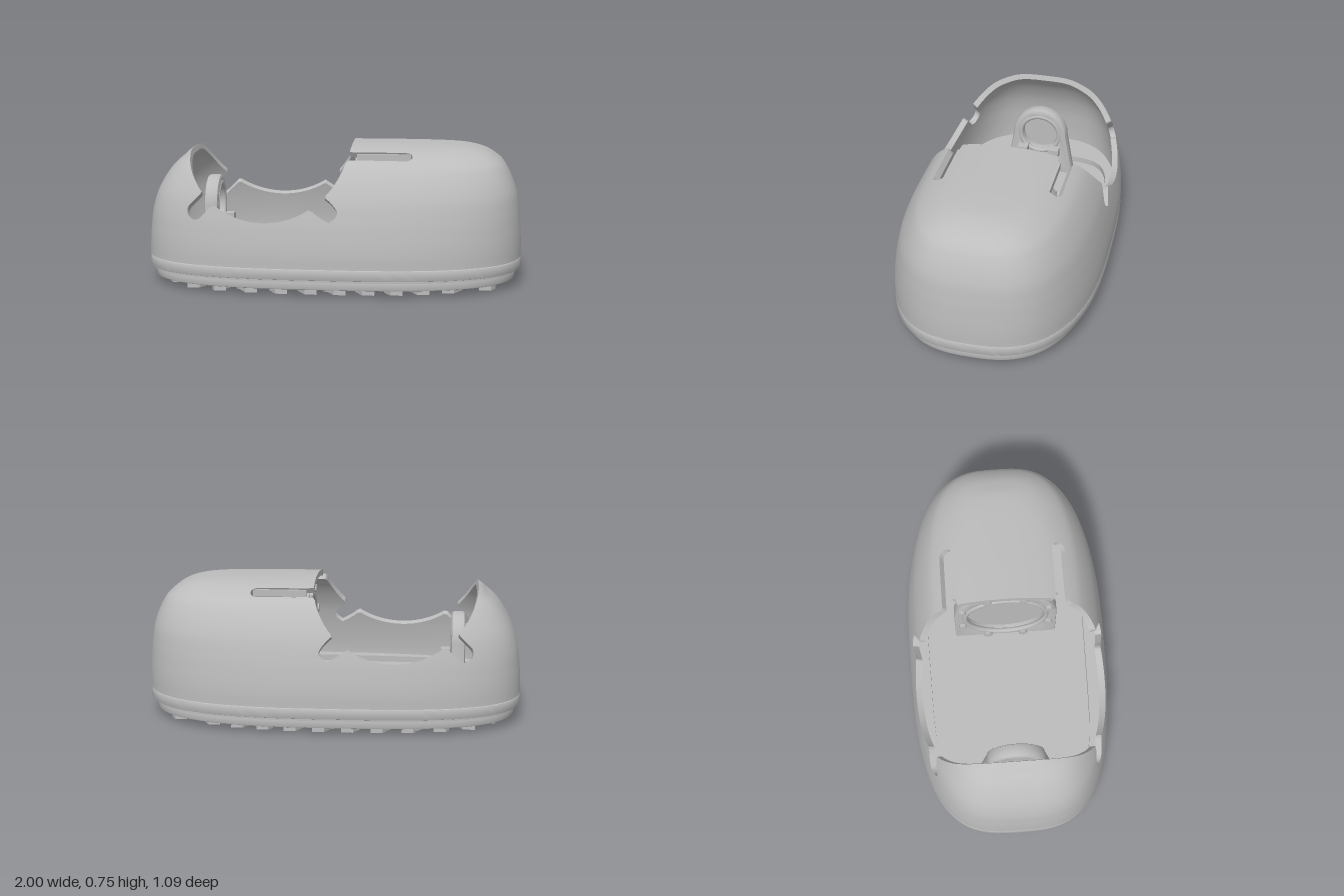
import * as THREE from 'three';
import { mergeVertices, toCreasedNormals } from 'three/addons/utils/BufferGeometryUtils.js';

const grey = new THREE.MeshStandardMaterial({ color: 0xbcbcbc });
grey.name = 'plain grey';

function add(parent, name, geometry) {
  const mesh = new THREE.Mesh(geometry, grey);
  mesh.name = name;
  parent.add(mesh);
  return mesh;
}

// Rounded plan outline: a superellipse, wider towards +x and boxier towards -x
const POWER = 2.7;
function planPoint(angle, sx, sz, power = POWER) {
  const c = Math.cos(angle), s = Math.sin(angle);
  const p = c < 0 ? power + 0.4 : power;
  const x = Math.sign(c) * Math.abs(c) ** (2 / p);
  const z = Math.sign(s) * Math.abs(s) ** (2 / p);
  return [x * sx, z * sz * (1 + 0.035 * x)];
}
function planPoints(sx, sz, power = POWER, n = 120) {
  return Array.from({ length: n }, (_, i) =>
    new THREE.Vector2(...planPoint((i / n) * Math.PI * 2, sx, sz, power)));
}
const halfWidth = (x, sx, sz) => sz * (1 - Math.min(1, Math.abs(x / sx)) ** POWER) ** (1 / POWER);

// Horizontal slab from y0 to y1 made from a plan shape (shape y becomes -z)
function slab(shape, y0, y1, bevel = 0) {
  const g = new THREE.ExtrudeGeometry(shape, {
    depth: y1 - y0 - 2 * bevel, bevelEnabled: bevel > 0, bevelThickness: bevel,
    bevelSize: bevel, bevelOffset: -bevel, bevelSegments: 2,
  });
  g.rotateX(-Math.PI / 2);
  g.translate(0, y0 + bevel, 0);
  return toCreasedNormals(g, 0.5);
}

// Signed distance to the openings: negative where the shell is cut away
function capsule(px, py, ax, ay, bx, by, r) {
  const dx = bx - ax, dy = by - ay;
  const t = THREE.MathUtils.clamp(((px - ax) * dx + (py - ay) * dy) / (dx * dx + dy * dy), 0, 1);
  return Math.hypot(px - ax - t * dx, py - ay - t * dy) - r;
}
function opening([x, y, z]) {
  const saddle = Math.hypot(x + 0.338, y - 0.822) - 0.442;
  const notchA = capsule(x, y, -0.695, 0.425, -0.59, 0.53, 0.043);
  const notchB = capsule(x, y, 0.005, 0.43, -0.1, 0.535, 0.043);
  const slot = y > 0.55 ? capsule(x, Math.abs(z), 0, 0.3, 0.383, 0.3, 0.036) : 1;
  return Math.min(saddle, notchA, notchB, slot);
}

// Domed shell of constant grid, clipped by the openings and given a rim
function buildShell(parent) {
  // height, reach to +x, reach to -x, half width
  const profile = [
    [0.15, 1, 1, 0.543], [0.22, 1, 0.998, 0.541], [0.3, 0.996, 0.992, 0.531],
    [0.4, 0.987, 0.978, 0.511], [0.5, 0.97, 0.945, 0.48], [0.6, 0.93, 0.885, 0.425],
    [0.665, 0.88, 0.82, 0.363], [0.718, 0.78, 0.735, 0.255], [0.74, 0.6, 0.5, 0.125],
    [0.746, 0, 0, 0],
  ];
  const curve = (k) => new THREE.CatmullRomCurve3(
    profile.map((p) => new THREE.Vector3(p[k], p[0], p[3])), false, 'catmullrom');
  const right = curve(1), left = curve(2);
  const NU = 260, NV = 81;
  const grid = [];
  for (let j = 0; j <= NV; j++) {
    const t = j / NV;
    const a = right.getPoint(t), b = left.getPoint(t);
    for (let i = 0; i < NU; i++) {
      const angle = (i / NU) * Math.PI * 2;
      // sections grow boxier towards the top
      const [x, z] = planPoint(angle, Math.cos(angle) > 0 ? a.x : b.x, a.z, POWER + 1.3 * t * t);
      const o = [x, a.y, z];
      // the wall is thinned along x only near the two ends
      const n = [x * (1 - 0.035 * x ** 4), a.y - 0.05 * (a.y - 0.15), z * 0.935];
      grid.push({ o, n, f: opening(o) });
    }
  }
  const mix = (p, q, t) => p.map((v, k) => v + (q[k] - v) * t);
  const outer = [], inner = [], rim = [];
  function clip(tri) {
    const poly = [];
    tri.forEach((p, k) => {
      const q = tri[(k + 1) % 3];
      if (p.f >= 0) poly.push(p);
      if ((p.f >= 0) !== (q.f >= 0)) {
        const t = p.f / (p.f - q.f);
        poly.push({ o: mix(p.o, q.o, t), n: mix(p.n, q.n, t), cut: true });
      }
    });
    for (let k = 1; k + 1 < poly.length; k++) {
      outer.push(...poly[0].o, ...poly[k].o, ...poly[k + 1].o);
      inner.push(...poly[0].n, ...poly[k + 1].n, ...poly[k].n);
    }
    poly.forEach((p, k) => {
      const q = poly[(k + 1) % poly.length];
      if (p.cut && q.cut) rim.push(...q.o, ...p.o, ...p.n, ...q.o, ...p.n, ...q.n);
    });
  }
  for (let j = 0; j < NV; j++) {
    for (let i = 0; i < NU; i++) {
      const i2 = (i + 1) % NU;
      const a = grid[j * NU + i], b = grid[j * NU + i2];
      const c = grid[(j + 1) * NU + i2], d = grid[(j + 1) * NU + i];
      clip([a, d, b]);
      clip([b, d, c]);
    }
  }
  for (const [name, list] of [['shellOutside', outer], ['shellInside', inner], ['shellRim', rim]]) {
    let g = new THREE.BufferGeometry();
    g.setAttribute('position', new THREE.Float32BufferAttribute(list, 3));
    g = mergeVertices(g, 1e-5);
    g.computeVertexNormals();
    add(parent, name, g);
  }
}

// Upright arched plate with a round hole, facing along x; the foot may be wider than the arch
function archPlate(foot, r, cy, hole, x0, x1, bevel) {
  const s = new THREE.Shape();
  s.moveTo(-foot, 0.14);
  s.lineTo(foot, 0.14);
  s.absarc(0, cy, r, 0, Math.PI, false);
  s.closePath();
  s.holes.push(new THREE.Path().absarc(0, cy, hole, 0, Math.PI * 2, true));
  const g = new THREE.ExtrudeGeometry(s, {
    depth: x1 - x0 - 2 * bevel, curveSegments: 32, bevelThickness: bevel,
    bevelSize: bevel, bevelOffset: -bevel, bevelSegments: 2,
  });
  g.rotateY(Math.PI / 2);
  g.translate(x0 + bevel, 0, 0);
  return toCreasedNormals(g, 0.5);
}
function rod(r, length, x, y, z, sides = 24) {
  return new THREE.CylinderGeometry(r, r, length, sides).rotateZ(Math.PI / 2).translate(x, y, z);
}
function ringAlongX(r, tube, x, y) {
  return new THREE.TorusGeometry(r, tube, 10, 48).rotateY(Math.PI / 2).translate(x, y, 0);
}

export function createModel() {
  const model = new THREE.Group();
  model.name = 'openShellHousing';

  const shell = new THREE.Group();
  shell.name = 'shell';
  model.add(shell);
  buildShell(shell);
  // Thin skirts under the lid, along the inner side of each slot
  for (const m of [1, -1]) {
    add(shell, 'lidSkirt', new THREE.BoxGeometry(0.28, 0.035, 0.03).translate(0.27, 0.69, 0.262 * m));
  }

  // Stacked base: waist band, recessed seam, sole
  const base = new THREE.Group();
  base.name = 'base';
  model.add(base);
  add(base, 'seam', slab(new THREE.Shape(planPoints(0.985, 0.53)), 0.08, 0.152));
  add(base, 'band', slab(new THREE.Shape(planPoints(1, 0.543)), 0.092, 0.147, 0.006));
  add(base, 'sole', slab(new THREE.Shape(planPoints(0.97, 0.515)), 0.036, 0.086, 0.008));
  const ledge = new THREE.Shape(planPoints(0.955, 0.5));
  ledge.holes.push(new THREE.Path(planPoints(0.76, 0.435, 5).reverse()));
  add(base, 'innerLedge', slab(ledge, 0.145, 0.185));

  // Zigzag tread bars across the sole
  const treads = new THREE.Group();
  treads.name = 'treads';
  model.add(treads);
  const step = 0.127;
  for (let i = 0; i < 12; i++) {
    const x0 = -0.855 + i * 0.15;
    const zm = halfWidth(Math.abs(x0) + 0.03, 0.95, 0.46);
    const zs = [-zm];
    for (let k = -3; k <= 3; k++) if (Math.abs(k * step) < zm - 0.02) zs.push(k * step);
    zs.push(zm);
    const zig = (z) => x0 - 0.035 + 0.07 * Math.abs((Math.abs(z / step) % 2) - 1);
    const side = (d) => zs.map((z) => new THREE.Vector2(zig(z) + d, z));
    add(treads, 'treadBar', slab(new THREE.Shape([...side(0.031), ...side(-0.031).reverse()]), 0, 0.04));
  }

  // Screw sockets around the sole
  const socketProfile = [[0.02, 0.04], [0.02, 0.012], [0.045, 0.012], [0.05, 0.04]]
    .map(([r, y]) => new THREE.Vector2(r, y));
  const spots = [[0.8, 0.17], [0.45, 0.38], [0, 0.4], [-0.45, 0.38], [-0.8, 0.17]];
  for (const [x, z] of spots) {
    for (const m of [1, -1]) {
      const g = toCreasedNormals(new THREE.LatheGeometry(socketProfile, 24), 0.5);
      add(treads, 'screwSocket', g).position.set(x, 0, z * m);
    }
  }

  // Small tapered holder with a ring and two pegs
  const holder = new THREE.Group();
  holder.name = 'smallHolder';
  model.add(holder);
  add(holder, 'holderPlate', archPlate(0.2, 0.155, 0.395, 0.1, -0.7, -0.625, 0.018));
  add(holder, 'holderRing', ringAlongX(0.113, 0.014, -0.634, 0.395));
  add(holder, 'holderBack', rod(0.11, 0.02, -0.685, 0.395, 0, 40));
  for (const m of [1, -1]) {
    add(holder, 'holderPeg', new THREE.BoxGeometry(0.08, 0.05, 0.058).translate(-0.612, 0.3, 0.092 * m));
  }

  // Large round mount under the hood
  const mount = new THREE.Group();
  mount.name = 'largeMount';
  model.add(mount);
  add(mount, 'mountPlate', archPlate(0.28, 0.28, 0.41, 0.215, 0.13, 0.2, 0.01));
  add(mount, 'mountRing', ringAlongX(0.222, 0.014, 0.133, 0.41));
  add(mount, 'mountDisc', rod(0.22, 0.03, 0.18, 0.41, 0, 48));
  for (let i = 0; i < 8; i++) {
    const a = ((i + 0.5) / 8) * Math.PI * 2;
    add(mount, 'mountBolt', rod(0.022, 0.03, 0.128, 0.41 + 0.255 * Math.sin(a), 0.255 * Math.cos(a), 16));
  }
  return model;
}
